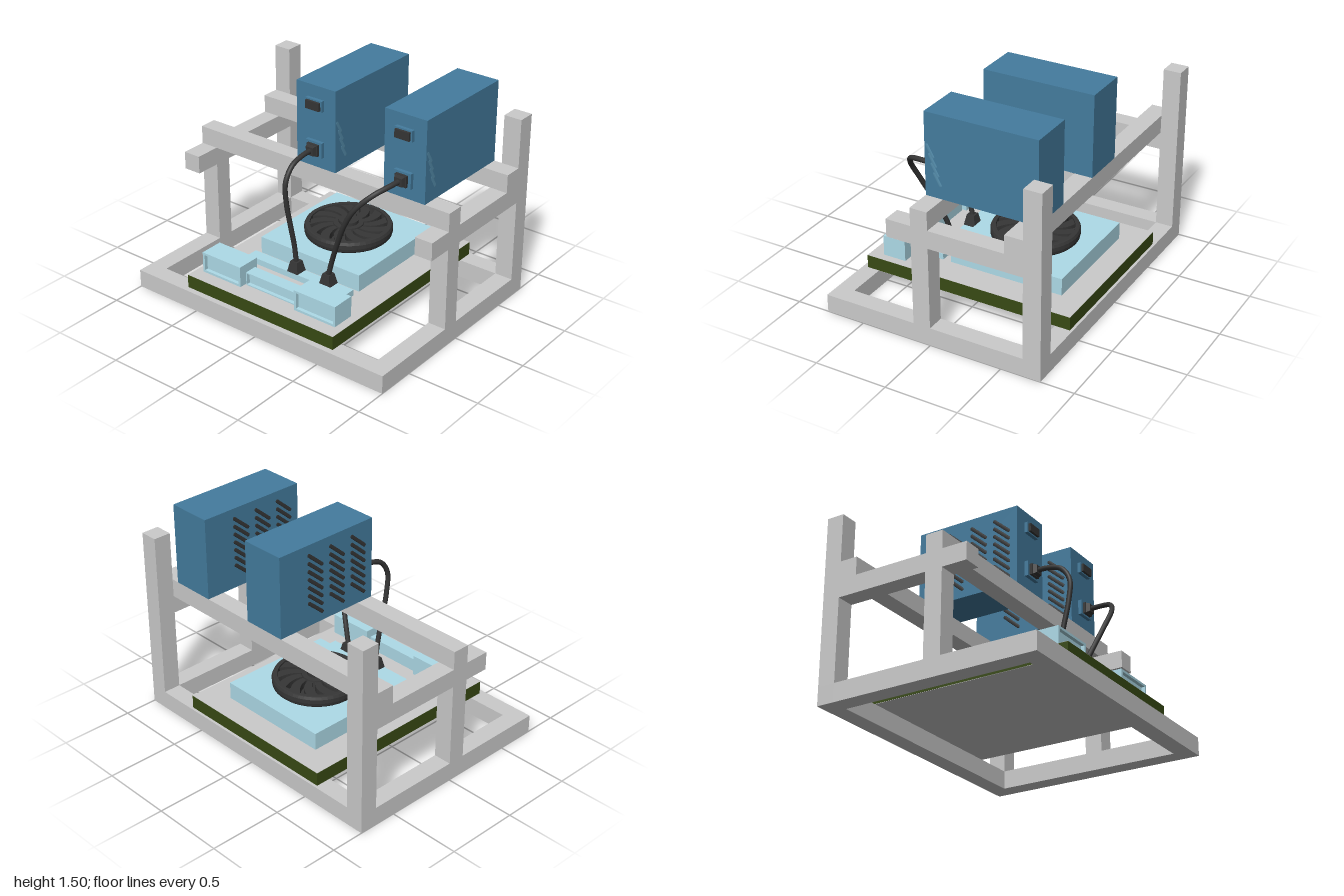
import * as THREE from 'three';

const mat = (color) => new THREE.MeshStandardMaterial({ color });

export function createModel() {
  const model = new THREE.Group();
  const grey = mat(0xcccccc), blue = mat(0x447c9e), paleBlue = mat(0xaedbe8);
  const green = mat(0x384a14), dark = mat(0x363636), slotBlue = mat(0x568fae);

  const add = (name, geometry, material, parent = model) => {
    const mesh = new THREE.Mesh(geometry, material);
    mesh.name = name;
    parent.add(mesh);
    return mesh;
  };
  // Box given by its limits on each axis
  const box = (name, [x0, x1], [y0, y1], [z0, z1], material, parent) => {
    const mesh = add(name, new THREE.BoxGeometry(x1 - x0, y1 - y0, z1 - z0), material, parent);
    mesh.position.set((x0 + x1) / 2, (y0 + y1) / 2, (z0 + z1) / 2);
    return mesh;
  };

  // Open frame of square bars
  const frame = new THREE.Group();
  frame.name = 'frame';
  model.add(frame);
  box('baseFrontBar', [-1, 1], [0, 0.125], [0.65, 0.772], grey, frame);
  box('baseBackBar', [-1, 1], [0, 0.125], [-0.772, -0.65], grey, frame);
  box('upperFrontBar', [-1, 1], [0.815, 0.94], [0, 0.12], grey, frame);
  box('upperBackBar', [-1, 1], [0.815, 0.94], [-0.65, -0.525], grey, frame);
  for (const s of [-1, 1]) {
    const xs = s < 0 ? [-1, -0.875] : [0.875, 1];
    box('baseSideBar', xs, [0, 0.125], [-0.65, 0.65], grey, frame);
    box('rearPost', xs, [0.125, 1.275], [-0.772, -0.65], grey, frame);
    box('frontPost', xs, [0.125, 0.692], [0, 0.12], grey, frame);
    box('upperSideBar', xs, [0.692, 0.815], [-0.65, 0.295], grey, frame);
  }

  // Circuit board: green edges with grey faces
  box('boardEdge', [-0.597, 0.597], [0.127, 0.218], [-0.755, 0.735], green);
  box('boardTop', [-0.596, 0.596], [0.217, 0.22], [-0.754, 0.734], grey);
  box('boardBottom', [-0.596, 0.596], [0.125, 0.128], [-0.754, 0.734], grey);

  // Processor block and slot strip
  box('processorBlock', [-0.41, 0.402], [0.22, 0.338], [-0.593, 0.217], paleBlue);
  box('slotStrip', [-0.41, 0.402], [0.22, 0.262], [0.275, 0.355], paleBlue);

  // Port blocks with a recessed front
  const portBlock = (name, x0, x1, top, z0, z1, rim) => {
    const port = new THREE.Group();
    port.name = name;
    model.add(port);
    const w = x1 - x0, h = top - 0.22, depth = 0.025;
    const outline = new THREE.Shape([[0, 0], [w, 0], [w, h], [0, h]].map((p) => new THREE.Vector2(...p)));
    outline.holes.push(new THREE.Path([[rim, rim], [rim, h - rim], [w - rim, h - rim], [w - rim, rim]]
      .map((p) => new THREE.Vector2(...p))));
    add('portRim', new THREE.ExtrudeGeometry(outline, { depth, bevelEnabled: false }), paleBlue, port)
      .position.set(x0, 0.22, z1 - depth);
    box('portBody', [x0, x1], [0.22, top], [z0, z1 - depth], paleBlue, port);
  };
  portBlock('rightPort', -0.545, -0.225, 0.363, 0.478, 0.642, 0.016);
  portBlock('leftPort', 0.217, 0.54, 0.363, 0.478, 0.642, 0.016);
  portBlock('middlePort', -0.215, 0.21, 0.312, 0.508, 0.597, 0.008);

  // Cooling fan: cup with rim, hub and swept blades
  const fan = new THREE.Group();
  fan.name = 'fan';
  fan.position.set(0.005, 0, -0.188);
  model.add(fan);
  const cup = [[0, 0.338], [0.278, 0.338], [0.29, 0.35], [0.295, 0.37], [0.295, 0.398], [0.287, 0.416],
    [0.278, 0.418], [0.258, 0.418], [0.255, 0.365], [0, 0.365]].map((p) => new THREE.Vector2(...p));
  const cupMaterial = mat(0x363636);
  cupMaterial.flatShading = true;
  add('fanCup', new THREE.LatheGeometry(cup, 48), cupMaterial, fan);
  add('fanHub', new THREE.CylinderGeometry(0.1, 0.105, 0.057, 32), dark, fan).position.y = 0.39;
  add('fanCap', new THREE.CylinderGeometry(0.066, 0.066, 0.03, 32), dark, fan).position.y = 0.425;
  const blade = new THREE.Shape();
  blade.moveTo(0.09, -0.015);
  blade.quadraticCurveTo(0.19, -0.03, 0.25, 0.055);
  blade.lineTo(0.225, 0.125);
  blade.quadraticCurveTo(0.17, 0.03, 0.09, 0.018);
  const bladeGeometry = new THREE.ExtrudeGeometry(blade, { depth: 0.045, bevelEnabled: false, curveSegments: 6 });
  bladeGeometry.rotateX(-Math.PI / 2);
  const bladeCount = 13;
  for (let i = 0; i < bladeCount; i++) {
    const mesh = add('fanBlade', bladeGeometry, dark, fan);
    mesh.position.y = 0.365;
    mesh.rotation.y = (i / bladeCount) * Math.PI * 2;
  }

  // Square tapered plug, narrow end along +y
  const taper = (top, bottom, height) => {
    const g = new THREE.CylinderGeometry(top / Math.SQRT2, bottom / Math.SQRT2, height, 4, 1).toNonIndexed();
    g.rotateY(Math.PI / 4);
    g.computeVertexNormals();
    return g;
  };
  // Slanted rounded vent slot lying in the z-y plane
  const ventSlot = (name, x, y, z, length, width, angle, material, parent) => {
    const g = new THREE.CapsuleGeometry(width / 2, length - width, 3, 8);
    g.scale(0.2, 1, 1);
    const mesh = add(name, g, material, parent);
    mesh.position.set(x, y, z);
    mesh.rotation.x = angle;
  };

  // Two standing cards with sockets, vents and cables
  const card = (name, cx, endX) => {
    const unit = new THREE.Group();
    unit.name = name;
    model.add(unit);
    box('cardBody', [cx - 0.154, cx + 0.154], [0.94, 1.498], [-0.65, 0.12], blue, unit);
    box('upperSocket', [cx - 0.064, cx + 0.064], [1.338, 1.413], [0.12, 0.145], blue, unit);
    box('upperPlug', [cx - 0.054, cx + 0.054], [1.347, 1.403], [0.12, 0.162], dark, unit);
    box('lowerSocket', [cx - 0.064, cx + 0.064], [1.022, 1.127], [0.12, 0.145], blue, unit);
    box('lowerPlug', [cx - 0.042, cx + 0.042], [1.035, 1.112], [0.12, 0.165], dark, unit);
    const collar = add('plugCollar', taper(0.055, 0.075, 0.03), dark, unit);
    collar.rotation.x = Math.PI / 2;
    collar.position.set(cx, 1.074, 0.175);

    // Short vents on the left face, long vents on the right face
    for (let i = 0; i < 4; i++) {
      ventSlot('shortVent', cx + 0.152, 1.245 - i * 0.06, 0.083 - i * 0.016, 0.11, 0.03, 0.52, slotBlue, unit);
    }
    for (let row = 0; row < 7; row++) {
      for (let column = 0; column < 3; column++) {
        ventSlot('longVent', cx - 0.154, 1.05 + row * 0.055, -0.36 + column * 0.18, 0.17, 0.024, -0.85, dark, unit);
      }
    }

    // Cable: fraction of the sideways run, height, depth
    const path = [[0, 1.074, 0.18], [0.02, 1.07, 0.26], [0.13, 1.035, 0.36], [0.33, 0.94, 0.42],
      [0.53, 0.8, 0.412], [0.73, 0.62, 0.372], [0.9, 0.45, 0.332], [1, 0.32, 0.314]];
    const curve = new THREE.CatmullRomCurve3(path.map(([t, y, z]) => new THREE.Vector3(cx + t * (endX - cx), y, z)));
    add('cable', new THREE.TubeGeometry(curve, 48, 0.017, 12), dark, unit);
    add('boardPlug', taper(0.055, 0.086, 0.075), dark, unit).position.set(endX, 0.3, 0.314);
  };
  card('rightCard', -0.02, -0.032);
  card('leftCard', 0.665, 0.23);

  return model;
}
